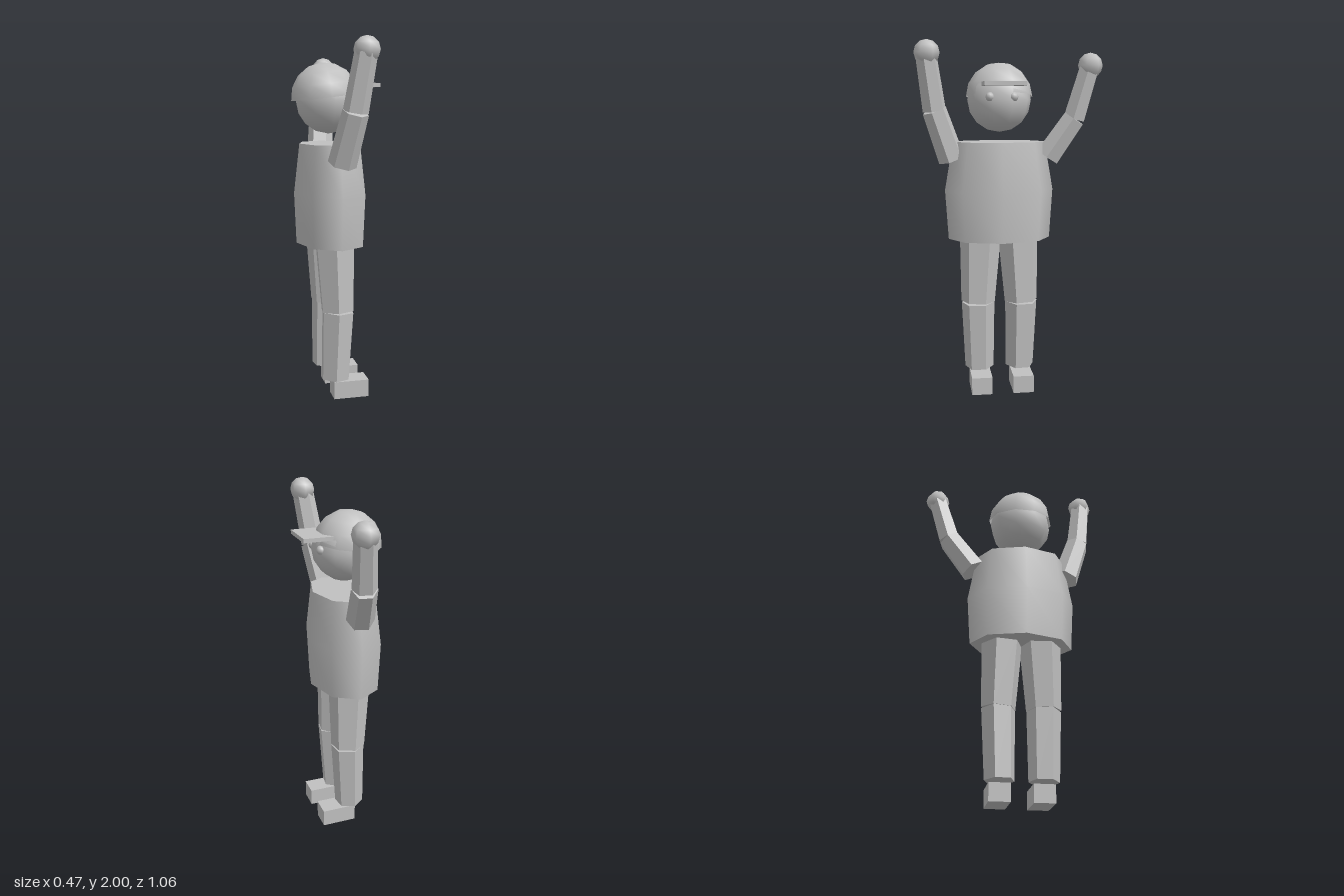
import * as THREE from 'three';

export function createModel() {
  const model = new THREE.Group();
  const grey = new THREE.MeshStandardMaterial({ color: 0xc0c0c0 });
  grey.name = 'light grey';
  const greyFlat = grey.clone();
  greyFlat.flatShading = true;
  const greyOpen = grey.clone();
  greyOpen.side = THREE.DoubleSide;

  const add = (name, geometry, x, y, z, material = grey) => {
    const mesh = new THREE.Mesh(geometry, material);
    mesh.name = name;
    mesh.position.set(x, y, z);
    model.add(mesh);
    return mesh;
  };

  // six-sided tapered limb running from a (bottom) to b (top)
  const limb = (name, a, b, rBottom, rTop, turn) => {
    const from = new THREE.Vector3(...a), to = new THREE.Vector3(...b);
    const axis = to.clone().sub(from);
    const geometry = new THREE.CylinderGeometry(rTop, rBottom, axis.length(), 6).rotateY(turn);
    const mid = from.add(to).multiplyScalar(0.5);
    const mesh = add(name, geometry, mid.x, mid.y, mid.z, greyFlat);
    mesh.quaternion.setFromUnitVectors(new THREE.Vector3(0, 1, 0), axis.normalize());
  };

  const ball = (r, w, h, sweep = Math.PI) =>
    new THREE.SphereGeometry(r, w, h, 0, Math.PI * 2, 0, sweep).rotateY(Math.PI / 2);

  // torso: eight-sided barrel, wider across z, closed at both ends
  const profile = [[0.195, 0.883], [0.207, 1.167], [0.175, 1.443]];
  const shirt = new THREE.LatheGeometry(profile.map(p => new THREE.Vector2(...p)), 8);
  add('torso', shirt.scale(1, 1, 1.51), -0.028, 0, 0.052);
  const lid = (r, tilt) => new THREE.CircleGeometry(r, 8).rotateX(tilt).scale(1, 1, 1.51);
  add('torsoTop', lid(0.175, -Math.PI / 2), -0.028, 1.443, 0.052);
  add('torsoBottom', lid(0.195, Math.PI / 2), -0.028, 0.883, 0.052);

  // head, cap and brim
  add('head', ball(0.182, 10, 8), -0.037, 1.679, 0.05);
  add('cap', ball(0.191, 10, 4, Math.PI / 2), -0.055, 1.697, 0.047, greyOpen).rotation.z = 0.12;
  add('capBrim', new THREE.BoxGeometry(0.2, 0.022, 0.23), 0.132, 1.764, 0.045);

  // legs, feet and eyes on both sides of the middle plane
  const middle = 0.053;
  for (const side of [1, -1]) {
    const label = side > 0 ? 'left' : 'right';
    const z = d => middle + side * d;
    const turn = -side * Math.PI / 24;
    limb(label + 'Thigh', [-0.015, 0.51, z(0.127)], [-0.028, 0.92, z(0.109)], 0.098, 0.12, turn);
    limb(label + 'Shin', [-0.026, 0.111, z(0.12)], [-0.013, 0.506, z(0.127)], 0.084, 0.096, turn);
    add(label + 'Foot', new THREE.BoxGeometry(0.202, 0.1, 0.118), 0.057, 0.05, z(0.12));
    add(label + 'Eye', ball(0.025, 8, 6), 0.12, 1.693, z(0.066));
  }

  // raised arms: shoulder, elbow, wrist, hand
  const arms = {
    left: [[-0.025, 1.345, 0.325], [0.022, 1.62, 0.42], [0.064, 1.92, 0.462], [0.068, 1.931, 0.458]],
    right: [[-0.025, 1.355, -0.23], [0.012, 1.573, -0.375], [0.043, 1.855, -0.452], [0.046, 1.868, -0.457]],
  };
  for (const [label, [shoulder, elbow, wrist, hand]] of Object.entries(arms)) {
    limb(label + 'UpperArm', shoulder, elbow, 0.078, 0.07, Math.PI / 12);
    limb(label + 'Forearm', elbow, wrist, 0.067, 0.06, Math.PI / 12);
    add(label + 'Hand', ball(0.071, 6, 6), ...hand);
  }
  return model;
}
